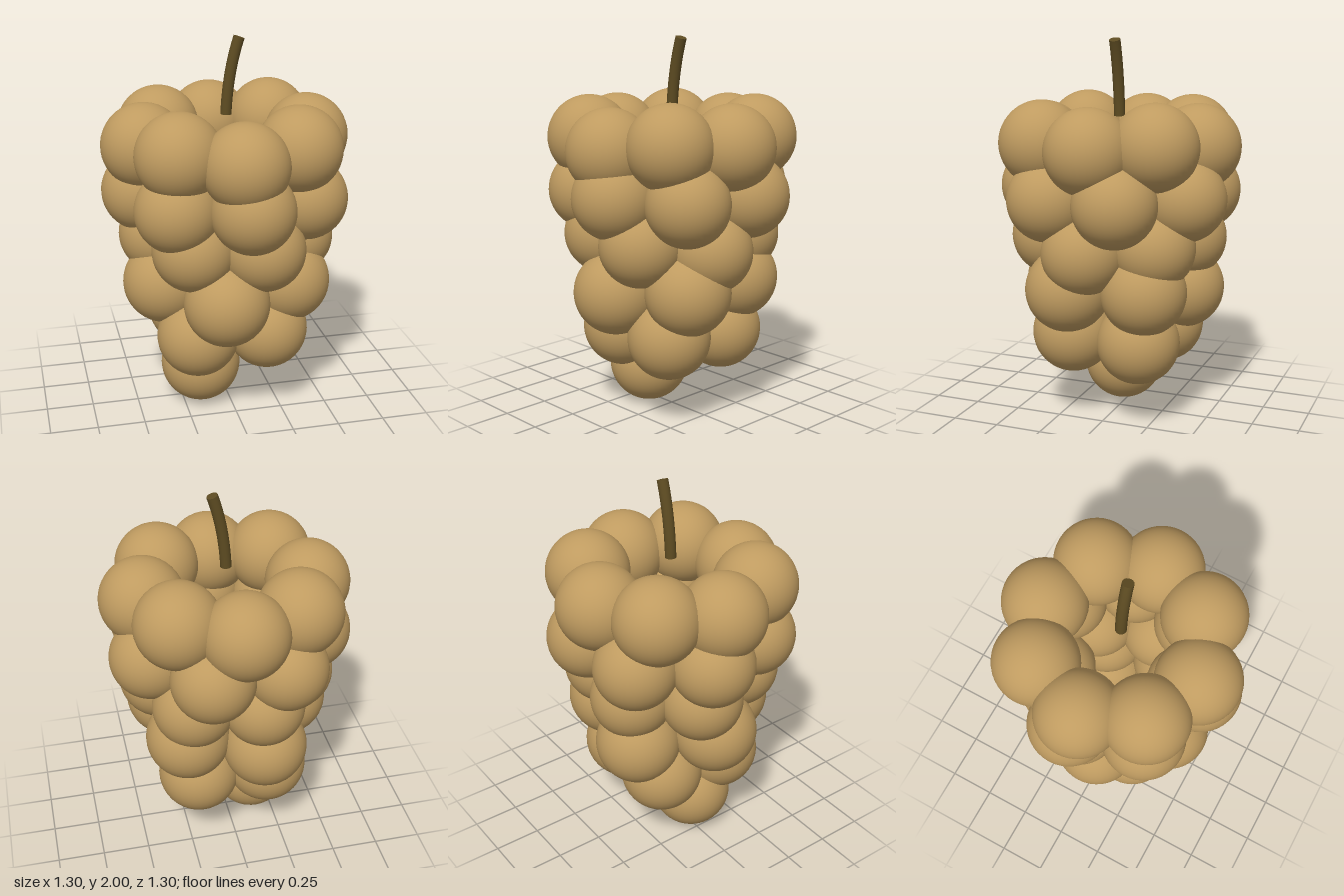
import * as THREE from 'three';

export function createModel() {
  const model = new THREE.Group();
  const skin = new THREE.MeshStandardMaterial({ color: 0xbf9b60 });
  skin.name = 'tan berry skin';
  const bark = new THREE.MeshStandardMaterial({ color: 0x5e4c22 });
  bark.name = 'dark brown stem';

  // Rings of berries from top to tip: ring radius, berry radius,
  // start angle in degrees from the front towards +x, and one height per berry
  const rings = [
    { ring: 0.43, size: 0.22, start: 0, heights: [1.445, 1.48, 1.465, 1.485, 1.46, 1.475, 1.46, 1.48] },
    { ring: 0.437, size: 0.215, start: 5, heights: [1.215, 1.2, 1.205, 1.21, 1.2, 1.205, 1.2] },
    { ring: 0.355, size: 0.215, start: 20, heights: [0.97, 0.935, 0.965, 0.96, 0.96, 0.975] },
    { ring: 0.342, size: 0.222, start: -12, heights: [0.69, 0.725, 0.735, 0.68, 0.72] },
    { ring: 0.262, size: 0.217, start: 43, heights: [0.465, 0.445, 0.455, 0.45] },
    { ring: 0.153, size: 0.215, start: -79, heights: [0.217] },
  ];
  const ball = new THREE.SphereGeometry(1, 40, 28);
  rings.forEach(({ ring, size, start, heights }, row) => {
    const group = new THREE.Group();
    group.name = `berryRing${row + 1}`;
    heights.forEach((y, i) => {
      const angle = THREE.MathUtils.degToRad(start + (360 / heights.length) * i);
      const berry = new THREE.Mesh(ball, skin);
      berry.name = 'berry';
      berry.scale.setScalar(size);
      berry.position.set(ring * Math.sin(angle), y, ring * Math.cos(angle));
      group.add(berry);
    });
    model.add(group);
  });

  // Curved stem with a flat cap at each end
  const stem = new THREE.Group();
  stem.name = 'stem';
  const path = new THREE.QuadraticBezierCurve3(
    new THREE.Vector3(0, 1.6, 0),
    new THREE.Vector3(0.01, 1.82, 0),
    new THREE.Vector3(0.068, 1.993, 0),
  );
  const stalk = new THREE.Mesh(new THREE.TubeGeometry(path, 16, 0.029, 16), bark);
  stalk.name = 'stalk';
  stem.add(stalk);
  [0, 1].forEach((t) => {
    const cap = new THREE.Mesh(new THREE.CircleGeometry(0.029, 16), bark);
    cap.name = t ? 'stemTopCap' : 'stemBottomCap';
    const outward = path.getTangent(t).multiplyScalar(t ? 1 : -1);
    cap.quaternion.setFromUnitVectors(new THREE.Vector3(0, 0, 1), outward);
    cap.position.copy(path.getPoint(t));
    stem.add(cap);
  });
  model.add(stem);

  return model;
}
